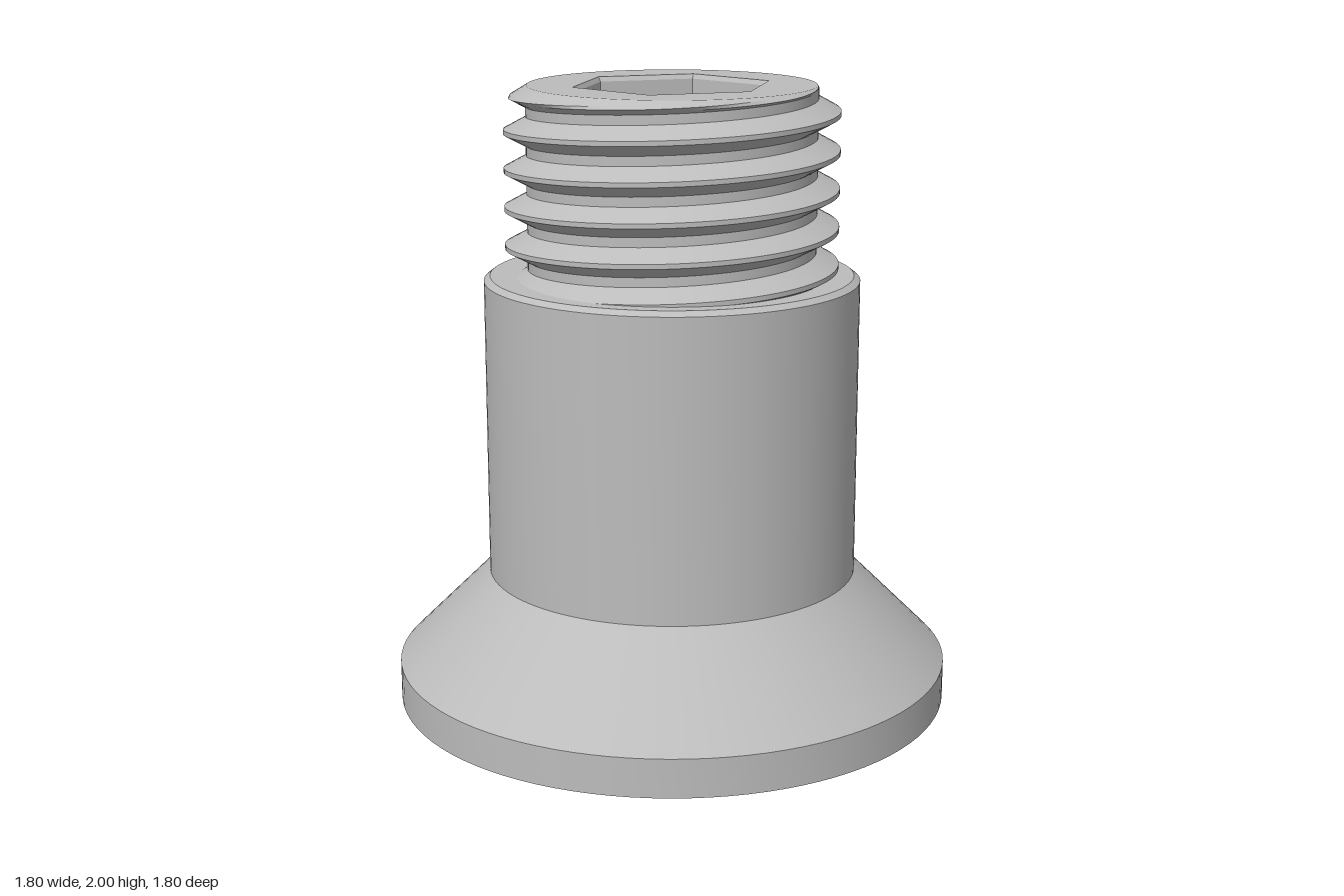
import * as THREE from 'three';
import { toCreasedNormals } from 'three/addons/utils/BufferGeometryUtils.js';

const HEX_TURN = THREE.MathUtils.degToRad(3);
const HEX_R = 0.322;
const SEGMENTS = 96;

function lathe(profile, segments = SEGMENTS, phiStart = 0) {
  const points = profile.map(([r, y]) => new THREE.Vector2(r, y));
  return toCreasedNormals(new THREE.LatheGeometry(points, segments, phiStart), 0.35);
}

// Flat disc with a hexagonal hole, facing up or down
function endFace(radius, up) {
  const shape = new THREE.Shape().absarc(0, 0, radius, 0, Math.PI * 2);
  const corners = [];
  for (let i = 0; i < 6; i++) {
    const a = (up ? HEX_TURN : -HEX_TURN) + i * Math.PI / 3;
    corners.push(new THREE.Vector2(HEX_R * Math.cos(a), HEX_R * Math.sin(a)));
  }
  shape.holes.push(new THREE.Path(corners));
  return new THREE.ShapeGeometry(shape, SEGMENTS / 2).rotateX(up ? -Math.PI / 2 : Math.PI / 2);
}

// Right-handed helical V thread, trimmed by a chamfer at the top
function threadGeometry() {
  const pitch = 0.121, crest = 0.53, root = 0.46, yMin = 1.36, yMax = 2, steps = 4;
  // One pitch, centred on the crest: [fraction of pitch, radius]
  const profile = [[-0.0625, crest], [0.0625, crest], [0.375, root], [0.625, root], [0.9375, crest]];
  const rows = [];
  for (let turn = -6; turn < 2; turn++) {
    for (let p = 0; p < 4; p++) {
      const [f0, r0] = profile[p], [f1, r1] = profile[p + 1];
      for (let s = 0; s < steps; s++) {
        const t = s / steps;
        rows.push([1.89 + pitch * (turn + f0 + (f1 - f0) * t), r0 + (r1 - r0) * t]);
      }
    }
  }
  const pos = [], index = [];
  for (const [y0, r0] of rows) {
    for (let i = 0; i <= SEGMENTS; i++) {
      const a = i / SEGMENTS * Math.PI * 2;
      const y = THREE.MathUtils.clamp(y0 + pitch * i / SEGMENTS, yMin, yMax);
      const r = Math.min(r0, 0.455 + (yMax - y) * 1.67);
      pos.push(r * Math.sin(a), y, r * Math.cos(a));
    }
  }
  const addTriangle = (a, b, c) => {
    const ys = [a, b, c].map(k => pos[k * 3 + 1]);
    if (Math.min(...ys) < yMax && Math.max(...ys) > yMin) index.push(a, b, c);
  };
  const n = SEGMENTS + 1;
  for (let j = 0; j < rows.length - 1; j++) {
    for (let i = 0; i < SEGMENTS; i++) {
      const a = j * n + i;
      addTriangle(a, a + 1, a + n + 1);
      addTriangle(a, a + n + 1, a + n);
    }
  }
  const geo = new THREE.BufferGeometry();
  geo.setAttribute('position', new THREE.Float32BufferAttribute(pos, 3));
  geo.setIndex(index);
  return toCreasedNormals(geo, 0.35);
}

export function createModel() {
  const steel = new THREE.MeshStandardMaterial({ color: 0xbcbcbc });
  steel.name = 'steel';
  const model = new THREE.Group();
  model.name = 'sleeveBolt';
  const add = (name, geometry, y = 0) => {
    const mesh = new THREE.Mesh(geometry, steel);
    mesh.name = name;
    mesh.position.y = y;
    model.add(mesh);
  };

  // Countersunk head and cylindrical sleeve
  add('sleeve', lathe([
    [0.50, 0.05], [0.50, 0.02], [0.52, 0], [0.9, 0], [0.9, 0.125],
    [0.6, 0.425], [0.6, 1.385], [0.58, 1.4], [0.44, 1.4],
  ]));

  // Threaded screw passing through the sleeve
  add('thread', threadGeometry());
  add('screwTop', endFace(0.455, true), 2);
  add('screwBottom', endFace(0.485, false));
  add('screwBottomChamfer', lathe([[0.485, 0], [0.5, 0.05]]));

  // Hexagonal through-hole with chamfered rims
  add('hexSocket', lathe(
    [[HEX_R, 2], [0.312, 1.985], [0.312, 0.015], [HEX_R, 0]], 6, Math.PI / 2 + HEX_TURN));

  return model;
}
